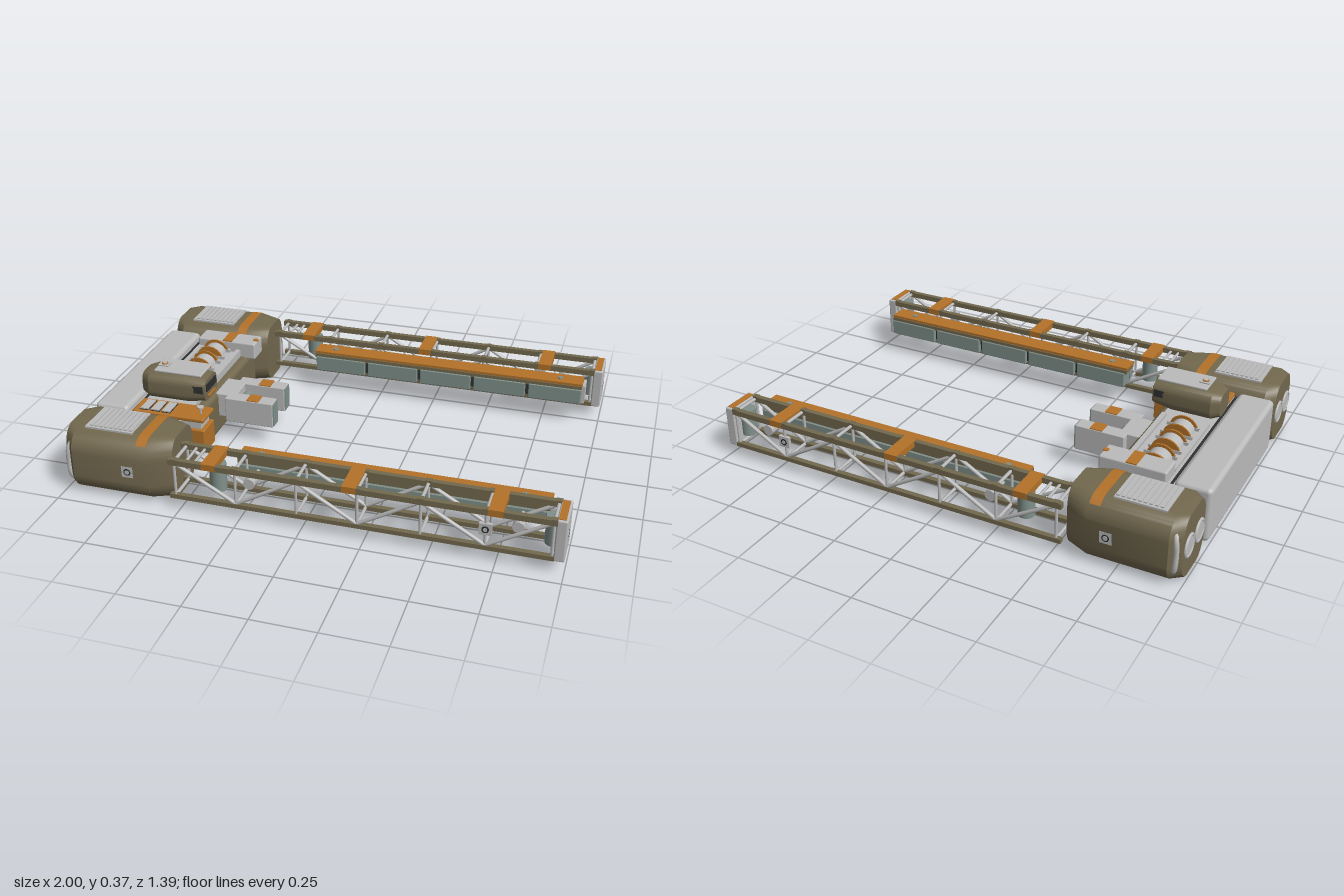
import * as THREE from 'three';
import { toCreasedNormals } from 'three/addons/utils/BufferGeometryUtils.js';
import { RoundedBoxGeometry } from 'three/addons/geometries/RoundedBoxGeometry.js';

const paint = (name, color) => {
  const m = new THREE.MeshStandardMaterial({ color });
  m.name = name;
  return m;
};

export function createModel() {
  const root = new THREE.Group();
  root.name = 'dockFrame';
  const olive = paint('olive', 0x73694f);
  const grey = paint('lightGrey', 0xbbbbbc);
  const orange = paint('orange', 0xb37229);
  const teal = paint('greyTeal', 0x80908a);
  const dark = paint('charcoal', 0x2f3231);

  const add = (parent, name, geo, mat, x = 0, y = 0, z = 0) => {
    const m = new THREE.Mesh(geo, mat);
    m.name = name;
    m.position.set(x, y, z);
    parent.add(m);
    return m;
  };
  // box given by its extents, with an optional rounded edge
  const box = (parent, name, mat, x0, x1, y0, y1, z0, z1, r = 0) => {
    const w = x1 - x0, h = y1 - y0, d = Math.abs(z1 - z0);
    const geo = r ? new RoundedBoxGeometry(w, h, d, 2, r) : new THREE.BoxGeometry(w, h, d);
    return add(parent, name, geo, mat, (x0 + x1) / 2, (y0 + y1) / 2, (z0 + z1) / 2);
  };
  // cylinder along 'x', 'y' or 'z'
  const cyl = (parent, name, mat, axis, r, len, x, y, z, sides = 20) => {
    const geo = new THREE.CylinderGeometry(r, r, len, sides);
    if (axis === 'x') geo.rotateZ(-Math.PI / 2);
    if (axis === 'z') geo.rotateX(Math.PI / 2);
    return add(parent, name, geo, mat, x, y, z);
  };
  const rod = (parent, name, mat, a, b, r) => {
    const p = new THREE.Vector3(...a), q = new THREE.Vector3(...b);
    const m = add(parent, name, new THREE.CylinderGeometry(r, r, p.distanceTo(q), 8), mat);
    m.position.copy(p).lerp(q, 0.5);
    m.quaternion.setFromUnitVectors(new THREE.Vector3(0, 1, 0), q.sub(p).normalize());
    return m;
  };
  const ringX = (parent, name, mat, r, tube, x, y, z) => {
    const geo = new THREE.TorusGeometry(r, tube, 8, 24);
    geo.rotateY(Math.PI / 2);
    return add(parent, name, geo, mat, x, y, z);
  };
  const section = (w, h, r) => {
    const s = new THREE.Shape();
    const a = w / 2 - r, b = h / 2 - r, q = Math.PI / 2;
    s.absarc(a, b, r, 0, q);
    s.absarc(-a, b, r, q, 2 * q);
    s.absarc(-a, -b, r, 2 * q, 3 * q);
    s.absarc(a, -b, r, 3 * q, 4 * q);
    return s;
  };
  // sweeps a section along x; stations are [x, width scale, height scale]
  const loft = (shape, stations) => {
    const n = stations.length - 1;
    const geo = new THREE.ExtrudeGeometry(shape, { depth: n, steps: n, bevelEnabled: false, curveSegments: 6 });
    geo.rotateY(Math.PI / 2);
    const p = geo.attributes.position;
    for (let i = 0; i < p.count; i++) {
      const [x, sz, sy] = stations[Math.round(p.getX(i))];
      p.setXYZ(i, x, p.getY(i) * sy, p.getZ(i) * sz);
    }
    return toCreasedNormals(geo, 0.5);
  };

  // ---- engine pods ----
  const podSection = section(0.3, 0.27, 0.085);
  const podGeo = loft(podSection, [[-0.992, 0.74, 0.97], [-0.95, 1, 1], [-0.63, 1, 1], [-0.54, 0.68, 0.97]]);
  const bandShape = new THREE.Shape(podSection.getPoints(6).filter((p) => p.y > 0.109));
  const bandGeo = loft(bandShape, [[-0.68, 1.015, 1.015], [-0.637, 1.015, 1.015]]);

  const buildPod = (s) => {
    const g = new THREE.Group();
    g.name = 'enginePod';
    root.add(g);
    const zc = 0.54 * s;
    add(g, 'podShell', podGeo, olive, 0, 0.136, zc);
    add(g, 'podStripe', bandGeo, orange, 0, 0.136, zc);
    // top grille
    box(g, 'grilleBase', grey, -0.915, -0.712, 0.262, 0.276, zc - 0.085, zc + 0.085);
    for (let i = 0; i < 9; i++) {
      const x = -0.898 + i * 0.021;
      box(g, 'grilleSlat', grey, x, x + 0.013, 0.274, 0.281, zc - 0.075, zc + 0.075);
    }
    // rear nozzles
    for (const dz of [-0.052, 0.052]) {
      ringX(g, 'nozzleRim', grey, 0.042, 0.007, -0.993, 0.136, zc + dz);
      cyl(g, 'nozzlePlate', grey, 'x', 0.042, 0.01, -0.992, 0.136, zc + dz);
    }
    // rear corner pipes
    for (const dz of [-0.13, 0.13]) {
      const curve = new THREE.CatmullRomCurve3([[-0.95, 0.035, 0.75], [-0.97, 0.07, 1], [-0.975, 0.136, 1.02],
        [-0.97, 0.2, 1], [-0.95, 0.242, 0.75]].map(([x, y, k]) => new THREE.Vector3(x, y, zc + dz * k)));
      add(g, 'cornerPipe', new THREE.TubeGeometry(curve, 16, 0.01, 8), grey);
    }
    // outer port
    box(g, 'portPlate', grey, -0.738, -0.69, 0.112, 0.16, 0.68 * s, 0.691 * s);
    cyl(g, 'portRing', dark, 'z', 0.015, 0.004, -0.714, 0.136, 0.69 * s);
    cyl(g, 'portCore', grey, 'z', 0.01, 0.006, -0.714, 0.136, 0.69 * s);
  };

  // ---- truss arms ----
  const buildArm = (s) => {
    const g = new THREE.Group();
    g.name = 'trussArm';
    root.add(g);
    const zi = 0.55 * s, zo = 0.679 * s, zc = 0.615 * s;
    for (const z of [zi, zo]) {
      box(g, 'topStringer', olive, -0.537, 0.96, 0.2, 0.223, z - 0.011, z + 0.011);
      box(g, 'bottomStringer', olive, -0.537, 0.96, 0.05, 0.068, z - 0.011, z + 0.011);
    }
    const nodes = [-0.515, -0.265, -0.02, 0.22, 0.463, 0.706, 0.95];
    nodes.forEach((x, i) => {
      for (const y of [0.062, 0.212]) rod(g, 'crossTie', grey, [x, y, zi], [x, y, zo], 0.007);
      for (const z of [zi, zo]) {
        rod(g, 'post', grey, [x, 0.06, z], [x, 0.212, z], 0.006);
        box(g, 'nodeBlock', olive, x - 0.012, x + 0.012, 0.2, 0.226, z - 0.011, z + 0.011);
        if (!i) continue;
        const up = i % 2 === 0;
        rod(g, 'diagonal', grey, [nodes[i - 1], up ? 0.065 : 0.207, z], [x, up ? 0.207 : 0.065, z], 0.008);
      }
    });
    for (const x of [-0.47, -0.435]) rod(g, 'rootTie', grey, [x, 0.212, zi], [x, 0.212, zo], 0.006);
    for (const x of [-0.37, 0.19, 0.74]) box(g, 'strap', orange, x - 0.028, x + 0.028, 0.2, 0.227, 0.538 * s, 0.691 * s);
    // upright canisters at both ends of the truss
    for (const x of [-0.36, 0.947]) cyl(g, 'canister', teal, 'y', 0.034, 0.115, x, 0.14, zc);
    // end cap with socket
    box(g, 'endCap', grey, 0.957, 0.998, 0.05, 0.225, 0.538 * s, 0.69 * s, 0.006);
    box(g, 'endMark', orange, 0.962, 0.99, 0.222, 0.227, 0.55 * s, 0.68 * s);
    ringX(g, 'socketRing', grey, 0.024, 0.004, 0.996, 0.136, zc);
    cyl(g, 'socket', dark, 'x', 0.022, 0.004, 0.997, 0.136, zc);
    // cargo rail and its cells
    box(g, 'cargoRail', orange, -0.31, 0.92, 0.18, 0.192, 0.457 * s, 0.538 * s);
    box(g, 'railFascia', olive, -0.308, 0.918, 0.163, 0.182, 0.452 * s, 0.538 * s);
    box(g, 'railRear', olive, -0.308, 0.918, 0.163, 0.191, 0.535 * s, 0.541 * s);
    box(g, 'railBack', teal, -0.305, 0.93, 0.115, 0.155, 0.51 * s, 0.541 * s);
    box(g, 'railSpine', dark, -0.295, 0.918, 0.108, 0.165, 0.465 * s, 0.52 * s);
    box(g, 'railEndPlate', grey, 0.917, 0.932, 0.095, 0.179, 0.467 * s, 0.54 * s);
    for (let i = 0; i < 5; i++) {
      const x = -0.302 + i * 0.247;
      box(g, 'cargoCell', teal, x, x + 0.232, 0.099, 0.168, 0.447 * s, 0.528 * s, 0.004);
    }
    // actuators joining the rail to the truss
    for (const x of [-0.222, 0.82]) {
      cyl(g, 'actuatorBody', grey, 'z', 0.024, 0.045, x, 0.14, 0.625 * s, 8);
      cyl(g, 'actuatorNeck', grey, 'z', 0.016, 0.04, x, 0.14, 0.585 * s, 12);
      cyl(g, 'actuatorRod', grey, 'z', 0.008, 0.1, x, 0.14, 0.54 * s, 8);
      cyl(g, 'railBolt', teal, 'y', 0.012, 0.006, x, 0.193, 0.497 * s, 12);
    }
    // outer sensor
    box(g, 'sensorPlate', grey, 0.682, 0.73, 0.115, 0.163, 0.676 * s, 0.69 * s);
    cyl(g, 'sensorEye', dark, 'z', 0.014, 0.004, 0.706, 0.139, 0.69 * s);
    cyl(g, 'sensorCore', grey, 'z', 0.008, 0.006, 0.706, 0.139, 0.69 * s);
  };
  for (const s of [1, -1]) {
    buildPod(s);
    buildArm(s);
  }

  // ---- cross hull ----
  box(root, 'hull', olive, -0.9, -0.578, 0.003, 0.2, -0.388, 0.388, 0.025);
  box(root, 'rearTank', grey, -1, -0.85, 0.015, 0.246, -0.39, 0.385, 0.02);
  box(root, 'deck', grey, -0.86, -0.615, 0.195, 0.218, -0.385, 0.385);
  box(root, 'deckSeam', dark, -0.842, -0.832, 0.215, 0.222, -0.38, 0.38);
  for (const x of [-0.82, -0.635]) box(root, 'deckRail', grey, x, x + 0.02, 0.215, 0.232, -0.29, 0.1);

  // winch drums
  for (const z of [0.003, -0.12, -0.242]) {
    const g = new THREE.Group();
    g.name = 'winch';
    root.add(g);
    cyl(g, 'drum', grey, 'z', 0.05, 0.075, -0.73, 0.21, z);
    for (const d of [-0.038, 0.038]) {
      cyl(g, 'flange', orange, 'z', 0.062, 0.007, -0.73, 0.21, z + d);
      box(g, 'bracket', grey, -0.8, -0.66, 0.21, 0.232, z + d - 0.006, z + d + 0.006);
    }
  }

  // equipment locker
  box(root, 'locker', grey, -0.82, -0.545, 0.19, 0.268, -0.385, -0.288, 0.008);
  box(root, 'lockerStripe', orange, -0.7, -0.655, 0.264, 0.27, -0.383, -0.29);
  cyl(root, 'lockerKnob', orange, 'y', 0.012, 0.008, -0.556, 0.267, -0.335, 12);

  // orange service module
  box(root, 'moduleBase', grey, -0.82, -0.53, 0.185, 0.222, 0.29, 0.375);
  box(root, 'moduleTop', orange, -0.83, -0.515, 0.22, 0.238, 0.27, 0.385, 0.006);
  box(root, 'moduleBox', orange, -0.6, -0.512, 0.085, 0.188, 0.28, 0.388, 0.005);
  for (let i = 0; i < 3; i++) {
    const x = -0.8 + i * 0.048;
    box(root, 'moduleSlotFrame', dark, x - 0.003, x + 0.037, 0.236, 0.24, 0.287, 0.37);
    box(root, 'moduleSlot', grey, x, x + 0.034, 0.236, 0.245, 0.29, 0.367);
  }
  cyl(root, 'modulePost', grey, 'y', 0.004, 0.03, -0.545, 0.252, 0.335, 10);
  cyl(root, 'moduleDisc', grey, 'y', 0.014, 0.006, -0.545, 0.268, 0.335, 16);

  // control cab
  const cab = new THREE.Group();
  cab.name = 'controlCab';
  root.add(cab);
  add(cab, 'cabShell', loft(section(0.155, 0.118, 0.04),
    [[-0.845, 0.72, 0.8], [-0.81, 1, 1], [-0.64, 1, 1], [-0.56, 0.86, 0.8]]), olive, 0, 0.289, 0.187);
  for (let i = 0; i < 4; i++) {
    const z = 0.137 + i * 0.026;
    box(cab, 'cabWindow', dark, -0.564, -0.555, 0.286, 0.318, z, z + 0.022);
  }
  for (const z of [0.118, 0.256]) box(cab, 'sideWindow', dark, -0.615, -0.567, 0.285, 0.315, z - 0.004, z + 0.004);
  box(cab, 'cabChin', orange, -0.575, -0.553, 0.257, 0.266, 0.15, 0.225);
  box(cab, 'roofPlate', grey, -0.785, -0.575, 0.354, 0.364, 0.128, 0.248, 0.004);
  box(cab, 'roofPad', grey, -0.78, -0.64, 0.34, 0.356, 0.15, 0.225);
  box(cab, 'hatch', grey, -0.782, -0.738, 0.36, 0.369, 0.168, 0.21);
  cyl(cab, 'hatchRing', orange, 'y', 0.014, 0.006, -0.76, 0.369, 0.189, 16);
  cyl(cab, 'hatchCap', grey, 'y', 0.009, 0.01, -0.76, 0.37, 0.189, 16);

  // docking clamp
  const clamp = new THREE.Group();
  clamp.name = 'dockingClamp';
  root.add(clamp);
  box(clamp, 'clampBlock', grey, -0.595, -0.5, 0.085, 0.195, -0.075, 0.075, 0.005);
  cyl(clamp, 'clampRoller', teal, 'z', 0.022, 0.12, -0.488, 0.14, 0);
  for (const s of [1, -1]) {
    box(clamp, 'clampArm', grey, -0.535, -0.32, 0.083, 0.195, 0.045 * s, 0.107 * s, 0.004);
    box(clamp, 'clampStripe', orange, -0.438, -0.384, 0.19, 0.198, 0.047 * s, 0.105 * s);
    box(clamp, 'clampPad', teal, -0.324, -0.316, 0.088, 0.19, 0.049 * s, 0.103 * s);
  }
  return root;
}
